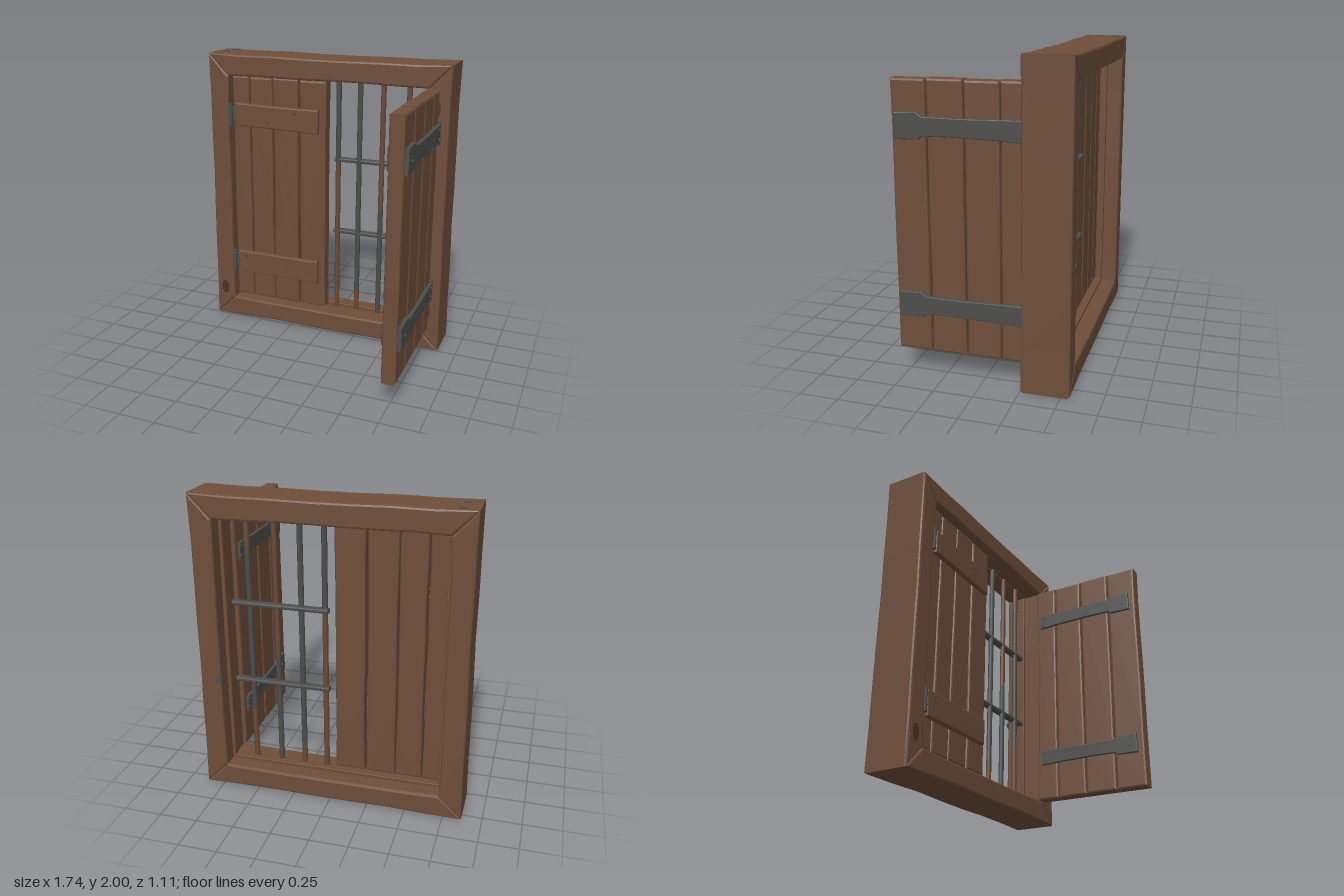
import * as THREE from 'three';

const mat = (name, color) => {
  const m = new THREE.MeshStandardMaterial({ color });
  m.name = name;
  return m;
};

export function createModel() {
  const wood = mat('wood', 0x6e4e3a);
  const darkWood = mat('dark wood', 0x4a3427);
  const iron = mat('iron', 0x4d4d4b);
  const rust = mat('rusty iron', 0x6b4a37);

  let seed = 7;
  const rnd = () => (seed = (seed * 16807) % 2147483647) / 2147483647;

  // Long edges of a counter-clockwise outline get small inward dents
  const rough = (pts, amp) => {
    const out = [];
    pts.forEach(([x, y], i) => {
      const [X, Y] = pts[(i + 1) % pts.length];
      const dx = X - x, dy = Y - y, len = Math.hypot(dx, dy);
      const n = len > 0.6 ? 7 : len > 0.3 ? 3 : 1;
      out.push([x, y]);
      for (let k = 1; k < n; k++) {
        const d = amp * rnd();
        out.push([x + dx * k / n - dy / len * d, y + dy * k / n + dx / len * d]);
      }
    });
    return out;
  };

  // Bevelled board with the given outline between z0 and z1
  const slab = (parent, name, material, pts, z0, z1, bevel = 0.01, amp = 0) => {
    const shape = new THREE.Shape(rough(pts, amp).map(p => new THREE.Vector2(...p)));
    const geo = new THREE.ExtrudeGeometry(shape, {
      depth: z1 - z0 - 2 * bevel, bevelThickness: bevel, bevelSize: bevel,
      bevelOffset: -bevel, bevelSegments: 2, steps: 1,
    });
    geo.translate(0, 0, z0 + bevel);
    const mesh = new THREE.Mesh(geo, material);
    mesh.name = name;
    parent.add(mesh);
    return mesh;
  };
  const rect = (x0, x1, y0, y1) => [[x0, y0], [x1, y0], [x1, y1], [x0, y1]];

  const rod = (parent, name, material, r, len, x, y, z) => {
    const mesh = new THREE.Mesh(new THREE.CylinderGeometry(r, r, len, 10), material);
    mesh.name = name;
    mesh.position.set(x, y, z);
    parent.add(mesh);
    return mesh;
  };
  const nail = (parent, x, y, z, r = 0.011) => {
    rod(parent, 'nail', iron, r, 0.012, x, y, z).rotation.x = Math.PI / 2;
  };

  const model = new THREE.Group();
  model.name = 'shutteredWindow';

  // Mitred frame
  const frame = new THREE.Group();
  frame.name = 'frame';
  model.add(frame);
  const W = 0.87, I = 0.72, B = 0.15, T = 1.845, zb = -0.555, zf = -0.255;
  const members = {
    bottomRail: [[-W, 0], [W, 0], [I, B], [-I, B]],
    topRail: [[-I, T], [I, T], [W, 2], [-W, 2]],
    rightStile: [[-W, 0], [-I, B], [-I, T], [-W, 2]],
    leftStile: [[W, 0], [W, 2], [I, T], [I, B]],
  };
  for (const [name, pts] of Object.entries(members)) slab(frame, name, wood, pts, zb, zf, 0.014, 0.008);

  // Thin stop behind the shutters
  const stops = [rect(-I, I, 0.145, 0.168), rect(-I, I, 1.835, 1.855),
    rect(-0.73, -0.7, B, T), rect(0.7, 0.73, B, T)];
  stops.forEach(p => slab(frame, 'shutterStop', wood, p, -0.45, -0.402, 0.004));

  // Nail heads let into the frame
  for (const [z, r] of [[-0.5, 0.03], [-0.36, 0.02]]) rod(frame, 'frameNail', iron, r, 0.008, -0.775, 1.998, z);
  nail(frame, 0.74, 0.78, -0.553, 0.025);

  // Iron bars, each with a rusty stretch
  const bars = new THREE.Group();
  bars.name = 'bars';
  model.add(bars);
  const barParts = [
    [0.06, [[0.14, 1.25, rust], [1.25, 1.86, iron]]],
    [0.215, [[0.14, 0.3, rust], [0.3, 1.86, iron]]],
    [0.38, [[0.14, 0.95, iron], [0.95, 1.86, rust]]],
    [0.56, [[0.14, 0.52, rust], [0.52, 1.65, iron], [1.65, 1.86, rust]]],
  ];
  for (const [x, parts] of barParts)
    for (const [a, b, m] of parts) rod(bars, 'verticalBar', m, 0.018, b - a, x, (a + b) / 2, -0.4);
  for (const y of [0.745, 1.28])
    slab(bars, 'crossBar', iron, rect(0.03, 0.67, y - 0.014, y + 0.014), -0.44, -0.39, 0.008);

  // Closed shutter
  const closed = new THREE.Group();
  closed.name = 'closedShutter';
  model.add(closed);
  const closedPlanks = [[-0.715, -0.582], [-0.577, -0.405], [-0.401, -0.208], [-0.198, 0]];
  closedPlanks.forEach(([a, b], i) =>
    slab(closed, 'plank', wood, rect(a, b, 0.165, 1.842 - 0.004 * (i % 2)), -0.4, -0.305, 0.012, 0.006));
  const battens = [
    [[-0.68, 1.49], [-0.05, 1.475], [-0.047, 1.645], [-0.68, 1.655]],
    [[-0.68, 0.36], [-0.05, 0.358], [-0.047, 0.53], [-0.685, 0.53]],
  ];
  battens.forEach(p => slab(closed, 'batten', wood, p, -0.31, -0.27, 0.008, 0.004));
  for (const [x, y] of [[-0.22, 1.61], [-0.43, 1.53], [-0.62, 0.49], [-0.3, 0.44], [-0.13, 0.435]])
    nail(closed, x, y, -0.269);
  for (const y of [1.57, 0.45]) {
    rod(closed, 'hingePin', iron, 0.017, 0.16, -0.718, y, -0.268);
    slab(closed, 'hingeLeaf', iron, rect(-0.715, -0.675, y - 0.05, y + 0.05), -0.308, -0.29, 0.004);
  }

  // Open shutter, drawn flat in (z, y) and turned to stand out from the frame
  const open = new THREE.Group();
  open.name = 'openShutter';
  open.rotation.y = -Math.PI / 2;
  model.add(open);
  const openPlanks = [[-0.275, -0.115], [-0.111, 0.103], [0.107, 0.332], [0.336, 0.555]];
  openPlanks.forEach(([a, b], i) =>
    slab(open, 'plank', wood, rect(a, b, 0.152, 1.842 - 0.004 * (i % 2)), -0.79, -0.695, 0.014, 0.004));

  // Iron straps on both faces, with a broad head at the free end
  for (const y of [1.565, 0.46]) {
    const outline = [[-0.25, y - 0.068], [-0.1, y - 0.06], [0.2, y - 0.055], [0.36, y - 0.058],
      [0.375, y - 0.078], [0.535, y - 0.082], [0.53, y + 0.078], [0.385, y + 0.083],
      [0.355, y + 0.058], [0.1, y + 0.055], [-0.1, y + 0.06], [-0.25, y + 0.062]];
    slab(open, 'outerStrap', iron, outline, -0.813, -0.785, 0.005);
    slab(open, 'innerStrap', iron,
      outline.map(([u, v]) => [u * 0.95, y + (v - y) * 0.85]), -0.7, -0.677, 0.005);
    for (const [u, v] of [[0.45, y - 0.01], [-0.215, y + 0.03], [-0.215, y - 0.035]]) {
      nail(open, u, v, -0.813);
      nail(open, u, v, -0.677);
    }
    rod(open, 'hingePin', iron, 0.017, 0.15, -0.25, y, -0.795);
  }

  // Dark worn patches on the frame
  const worn = [[-0.8, 0.22, 0.05, 0.09], [0.79, 0.3, 0.02, 0.1], [0.79, 1.72, 0.02, 0.08]];
  for (const [x, y, rx, ry] of worn) {
    const patch = new THREE.Mesh(new THREE.CircleGeometry(1, 16), darkWood);
    patch.name = 'wornPatch';
    patch.scale.set(rx * 0.6, ry * 0.6, 1);
    patch.position.set(x, y, zf + 0.001);
    frame.add(patch);
  }
  return model;
}
